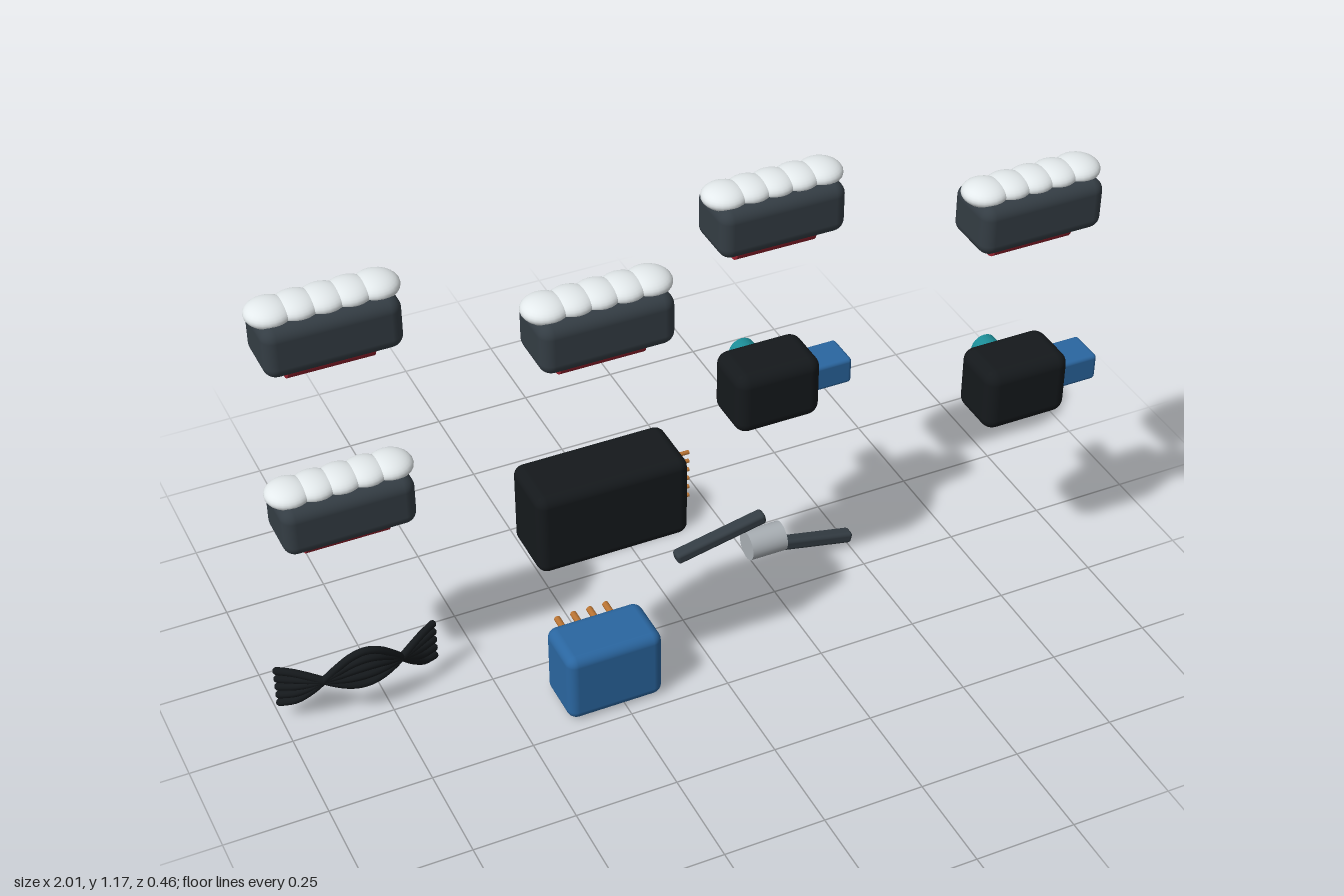
import * as THREE from 'three';
import { RoundedBoxGeometry } from 'three/addons/geometries/RoundedBoxGeometry.js';

const mat = (color) => new THREE.MeshStandardMaterial({ color });
const M = {
  slate: mat(0x343d44), white: mat(0xe4eaec), red: mat(0x96222f), black: mat(0x15191c),
  blue: mat(0x2a66a0), teal: mat(0x1c8c96), copper: mat(0xb87333), steel: mat(0xa9afb4),
};

// Grid the items sit on: alternating columns are staggered in depth
const COLS = [-0.805, -0.272, 0.262, 0.796];
const colZ = (c) => (c % 2 ? 0.147 : -0.087);

function add(parent, name, geometry, material, x = 0, y = 0, z = 0) {
  const mesh = new THREE.Mesh(geometry, material);
  mesh.name = name;
  mesh.position.set(x, y, z);
  parent.add(mesh);
  return mesh;
}

const box = (w, h, d, r) => new RoundedBoxGeometry(w, h, d, 4, r);

// Cylinder lying along the x or z axis
function rod(axis, radius, length, sides = 24) {
  const g = new THREE.CylinderGeometry(radius, radius, length, sides);
  return axis === 'x' ? g.rotateZ(Math.PI / 2) : g.rotateX(Math.PI / 2);
}

// Slate block with a cushion of overlapping puffs above and a red roller below
function cushionUnit() {
  const g = new THREE.Group();
  add(g, 'roller', rod('x', 0.034, 0.2), M.red, 0, -0.072);
  add(g, 'body', box(0.315, 0.127, 0.151, 0.03), M.slate, 0, 0);
  const puff = new THREE.SphereGeometry(0.054, 24, 16).scale(1, 0.5, 1);
  for (let i = -2; i <= 2; i++) add(g, 'puff', puff, M.white, i * 0.06, 0.068);
  return g;
}

// Large black case with a row of pins on its side
function pinnedCase() {
  const g = new THREE.Group();
  add(g, 'case', box(0.367, 0.211, 0.161, 0.025), M.black);
  const pin = rod('x', 0.005, 0.06, 10);
  for (let i = 0; i < 6; i++) add(g, 'sidePin', pin, M.copper, 0.187, (i - 2.5) * 0.0246);
  return g;
}

// Small black motor with a blue plug at the side and a teal shaft behind
function motorUnit() {
  const g = new THREE.Group();
  add(g, 'motorBody', box(0.22, 0.166, 0.147, 0.032), M.black);
  add(g, 'plug', box(0.12, 0.07, 0.092, 0.01), M.blue, 0.142, 0.003);
  add(g, 'shaft', rod('z', 0.034, 0.1), M.teal, 0, 0.003, -0.092);
  return g;
}

// Ribbon of wires that flips over as it arches forward
function wireRibbon() {
  const g = new THREE.Group();
  for (let i = -2; i <= 2; i++) {
    const pts = [];
    for (let k = 0; k <= 12; k++) {
      const t = k / 12;
      const arch = Math.sin(Math.PI * t);
      pts.push(new THREE.Vector3((t - 0.5) * 0.385,
        0.102 + 0.043 * arch * arch + i * 0.0245 * Math.cos(2 * Math.PI * t),
        0.068 * arch));
    }
    const path = new THREE.CatmullRomCurve3(pts);
    add(g, 'wire', new THREE.TubeGeometry(path, 40, 0.0095, 10), M.black);
    for (const end of [pts[0], pts[12]]) {
      add(g, 'wireEnd', new THREE.SphereGeometry(0.0095, 10, 8), M.black, end.x, end.y, end.z);
    }
  }
  return g;
}

// Blue connector block with a grid of pins on the back
function connectorBlock() {
  const g = new THREE.Group();
  add(g, 'connector', box(0.241, 0.187, 0.146, 0.025), M.blue, 0, 0.0975);
  const pin = rod('z', 0.008, 0.09, 12);
  for (let c = 0; c < 4; c++) {
    for (let r = -1; r <= 1; r++) {
      add(g, 'backPin', pin, M.copper, (c - 1.5) * 0.0415, 0.099 + r * 0.043, -0.092);
    }
  }
  return g;
}

// Steel hub with two sloping arms
function hubWithArms() {
  const g = new THREE.Group();
  add(g, 'hub', rod('x', 0.038, 0.095, 32), M.steel, 0, 0.099);
  const arm = box(0.245, 0.03, 0.034, 0.009);
  add(g, 'rightArm', arm, M.slate, -0.122, 0.155).rotation.z = 0.21;
  add(g, 'leftArm', arm, M.slate, 0.122, 0.058).rotation.z = -0.21;
  return g;
}

export function createModel() {
  const model = new THREE.Group();
  model.name = 'partsDisplay';
  const place = (name, group, col, y) => {
    group.name = name;
    group.position.set(COLS[col], y, colZ(col));
    model.add(group);
  };

  // Top row
  for (let c = 0; c < 4; c++) place('cushionUnit', cushionUnit(), c, 1.075);

  // Middle row
  place('cushionUnit', cushionUnit(), 0, 0.587);
  place('pinnedCase', pinnedCase(), 1, 0.585);
  place('motorUnit', motorUnit(), 2, 0.585);
  place('motorUnit', motorUnit(), 3, 0.585);

  // Bottom row
  place('wireRibbon', wireRibbon(), 0, 0);
  place('connectorBlock', connectorBlock(), 1, 0);
  place('hubWithArms', hubWithArms(), 2, 0);
  return model;
}
